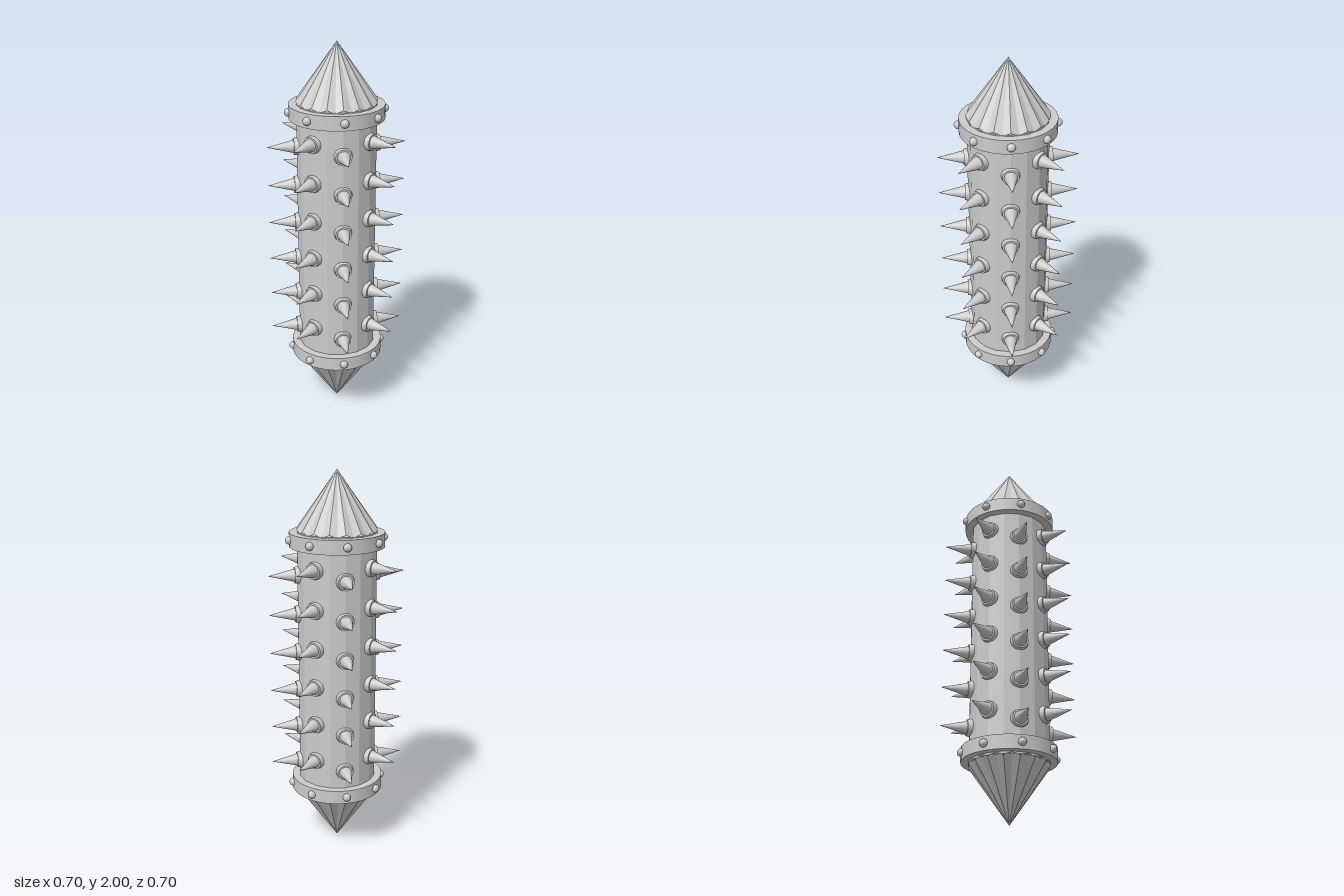
import * as THREE from 'three';

const SIDES = 16;

export function createModel() {
  const model = new THREE.Group();
  const smooth = new THREE.MeshStandardMaterial({ color: 0xcccccc });
  const flat = new THREE.MeshStandardMaterial({ color: 0xcccccc, flatShading: true });

  const add = (name, geometry, material, parent = model) => {
    const mesh = new THREE.Mesh(geometry, material);
    mesh.name = name;
    parent.add(mesh);
    return mesh;
  };

  // Faceted shaft
  add('shaft', new THREE.CylinderGeometry(0.202, 0.202, 1.4, SIDES), flat).position.y = 1;

  // Pleated end cone: every second base corner is drawn in and down
  const coneGeometry = new THREE.ConeGeometry(0.205, 0.29, SIDES * 2, 1, true);
  const pos = coneGeometry.attributes.position;
  for (let i = 0; i < pos.count; i++) {
    if (pos.getY(i) > 0) continue;
    const step = Math.round(Math.atan2(pos.getX(i), pos.getZ(i)) / (Math.PI / SIDES));
    if (step % 2 !== 0) {
      pos.setXYZ(i, pos.getX(i) * 0.975, pos.getY(i) - 0.015, pos.getZ(i) * 0.975);
    }
  }
  add('topPoint', coneGeometry, flat).position.y = 1.855;
  const bottomPoint = add('bottomPoint', coneGeometry, flat);
  bottomPoint.rotation.x = Math.PI;
  bottomPoint.position.y = 0.15;

  // Collars with eight round studs each
  const collarGeometry = new THREE.CylinderGeometry(0.24, 0.24, 0.072, 32);
  const studGeometry = new THREE.SphereGeometry(0.021, 16, 12);
  for (const [name, y] of [['topCollar', 1.658], ['bottomCollar', 0.347]]) {
    const collar = new THREE.Group();
    collar.name = name;
    collar.position.y = y;
    model.add(collar);
    add('collarBand', collarGeometry, smooth, collar);
    for (let i = 0; i < 8; i++) {
      const a = i * Math.PI / 4;
      add('stud', studGeometry, smooth, collar)
        .position.set(Math.sin(a) * 0.241, 0, Math.cos(a) * 0.241);
    }
  }

  // Spikes on round flanges: six rows, diagonal columns sit lower
  const flangeGeometry = new THREE.CylinderGeometry(0.041, 0.049, 0.04, 20)
    .rotateX(Math.PI / 2).translate(0, 0, 0.198);
  const spikeGeometry = new THREE.ConeGeometry(0.037, 0.152, 20)
    .rotateX(Math.PI / 2).translate(0, 0, 0.276);
  for (let row = 0; row < 6; row++) {
    for (let i = 0; i < 8; i++) {
      const spike = new THREE.Group();
      spike.name = 'spike';
      spike.position.y = 0.526 + row * 0.2012 - (i % 2) * 0.05;
      spike.rotation.y = i * Math.PI / 4;
      add('spikeFlange', flangeGeometry, smooth, spike);
      add('spikePoint', spikeGeometry, smooth, spike);
      model.add(spike);
    }
  }

  return model;
}
